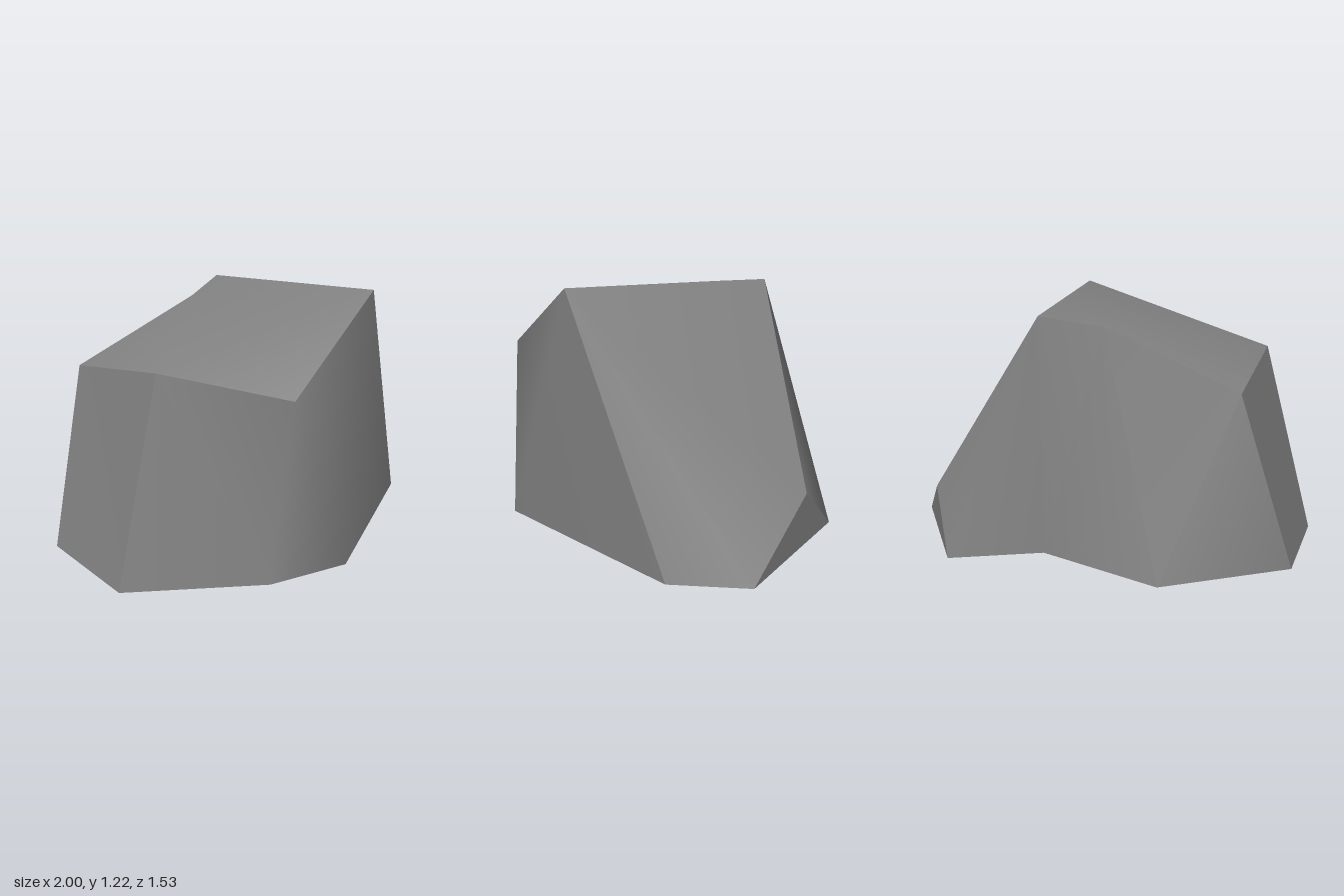
import * as THREE from 'three';

// Corner points of the boulder
const P = {
  // ground ring
  a: [-1.0, 0.01, -0.08], b: [-0.91, 0.01, 0.48], c: [-0.3, 0.01, 0.75], d: [0.1, 0.01, 0.765],
  e: [0.89, 0, 0.12], f: [1.0, 0.01, -0.25], h: [0.47, 0.015, -0.765], k: [0.11, 0.01, -0.48],
  j: [-0.54, 0.01, -0.56],
  // low shoulder at the back
  g: [0.68, 0.285, -0.57],
  // top rim
  t: [0.41, 1.22, 0.49], i: [0.11, 1.165, -0.49], p: [-0.13, 1.11, -0.31],
  q: [-0.78, 0.85, -0.23], r: [-0.67, 0.955, 0.41], s: [-0.16, 0.83, 0.71],
};

// Each facet is smooth inside and has a hard border; triangles are named by their corners
const FACETS = {
  topFace: 'rst rtp tip rpq',
  frontFace: 'rbc rcs scd sdt tde',
  leanFace: 'tef tfg tgi',
  cornerChip: 'fhg',
  sideFace: 'qab qbr',
  backFace: 'ikp pkj pjq qja ihk igh',
};

function facet(triangles) {
  const keys = [...new Set(triangles.replace(/ /g, ''))];
  const geo = new THREE.BufferGeometry();
  geo.setAttribute('position', new THREE.Float32BufferAttribute(keys.flatMap((n) => P[n]), 3));
  geo.setIndex([...triangles.replace(/ /g, '')].map((n) => keys.indexOf(n)));
  geo.computeVertexNormals();
  return geo;
}

export function createModel() {
  const group = new THREE.Group();
  group.name = 'boulder';
  // The shell is open underneath, so the inside shows too
  const stone = new THREE.MeshStandardMaterial({ color: 0x808080, side: THREE.DoubleSide });
  stone.name = 'stone grey';
  for (const [name, triangles] of Object.entries(FACETS)) {
    const mesh = new THREE.Mesh(facet(triangles), stone);
    mesh.name = name;
    group.add(mesh);
  }
  return group;
}
